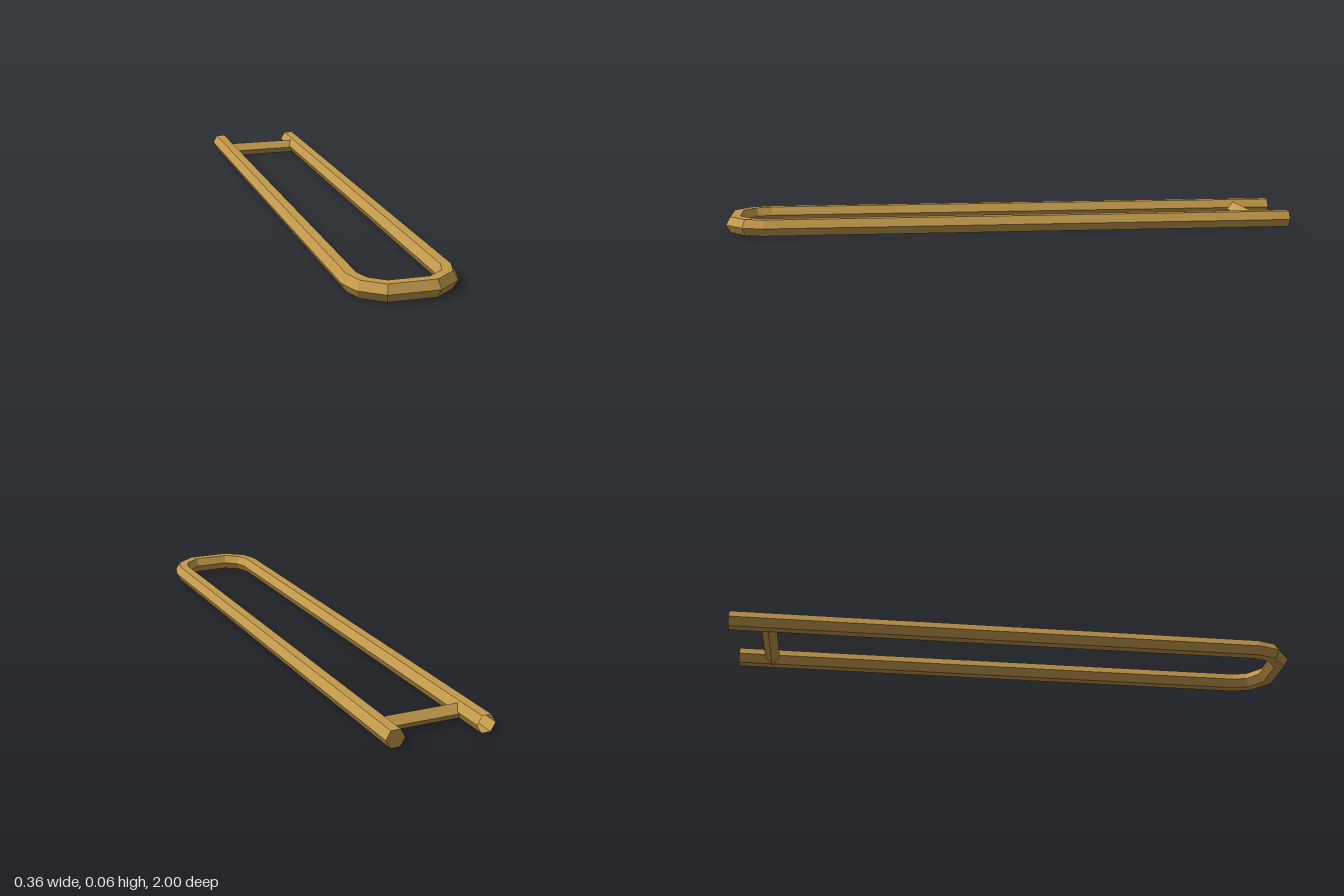
import * as THREE from 'three';

const CENTRE_Y = 0.0315, RADIUS = 0.0325, SIDES = 6;

// Centreline of the bent rod as [x, z]
const PATH = [
  [-0.15, -1.0], [-0.15, 0.86], [-0.131, 0.921], [-0.073, 0.967],
  [0.07, 0.967], [0.131, 0.918], [0.148, 0.86], [0.148, -0.985],
].map(([x, z]) => new THREE.Vector2(x, z));

// Hexagonal rod swept along the path with mitred corners
function rodGeometry() {
  const rings = PATH.map((p, i) => {
    const a = p.clone().sub(PATH[Math.max(i - 1, 0)]).normalize();
    const b = PATH[Math.min(i + 1, PATH.length - 1)].clone().sub(p).normalize();
    const dir = a.clone().add(b).normalize();
    const mitre = 1 / dir.dot(i === 0 ? b : a);
    const ring = [];
    for (let k = 0; k < SIDES; k++) {
      const t = (k / SIDES) * Math.PI * 2;
      const off = Math.cos(t) * RADIUS * mitre;
      ring.push([p.x - dir.y * off, CENTRE_Y + Math.sin(t) * RADIUS * 0.866 / 0.866, p.y + dir.x * off]);
    }
    return ring;
  });
  const pos = [];
  const tri = (...pts) => pts.forEach((p) => pos.push(...p));
  for (let i = 0; i < rings.length - 1; i++) {
    for (let k = 0; k < SIDES; k++) {
      const n = (k + 1) % SIDES;
      const [a, b, c, d] = [rings[i][k], rings[i][n], rings[i + 1][n], rings[i + 1][k]];
      tri(a, b, c);
      tri(a, c, d);
    }
  }
  // One end is closed, the other stays open
  const end = rings[rings.length - 1];
  for (let k = 1; k < SIDES - 1; k++) tri(end[0], end[k], end[k + 1]);

  const g = new THREE.BufferGeometry();
  g.setAttribute('position', new THREE.Float32BufferAttribute(pos, 3));
  // Orient faces outward using the enclosed volume
  let volume = 0;
  const [A, B, C] = [0, 0, 0].map(() => new THREE.Vector3());
  for (let i = 0; i < pos.length; i += 9) {
    A.fromArray(pos, i); B.fromArray(pos, i + 3); C.fromArray(pos, i + 6);
    A.z += 1; B.z += 1; C.z += 1;
    volume += A.dot(B.cross(C));
  }
  if (volume < 0) {
    for (let i = 0; i < pos.length; i += 9) {
      for (let j = 0; j < 3; j++) [pos[i + 3 + j], pos[i + 6 + j]] = [pos[i + 6 + j], pos[i + 3 + j]];
    }
    g.setAttribute('position', new THREE.Float32BufferAttribute(pos, 3));
  }
  g.computeVertexNormals();
  return g;
}

export function createModel() {
  const group = new THREE.Group();
  group.name = 'bentRodFrame';
  const brass = new THREE.MeshStandardMaterial({ color: 0xc49a4c, flatShading: true, side: THREE.DoubleSide });
  brass.name = 'brass';

  const rod = new THREE.Mesh(rodGeometry(), brass);
  rod.name = 'bentRod';
  group.add(rod);

  // Four-sided bar joining the two legs, standing on its edge
  const barGeometry = new THREE.CylinderGeometry(0.026, 0.026, 0.277, 4);
  barGeometry.rotateZ(Math.PI / 2);
  const bar = new THREE.Mesh(barGeometry, brass);
  bar.name = 'crossBar';
  bar.position.set(-0.0015, 0.026, -0.866);
  group.add(bar);
  return group;
}
